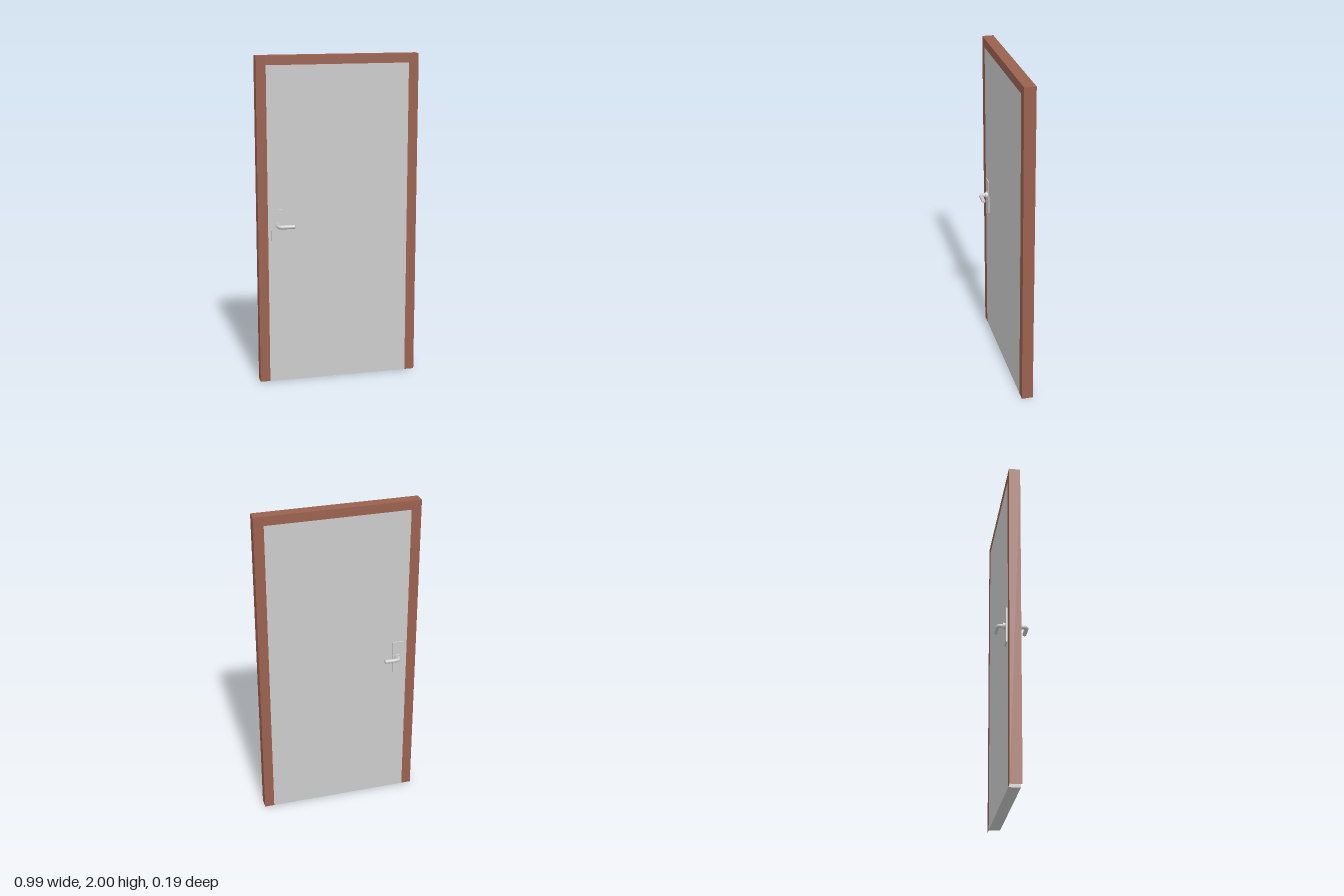
import * as THREE from 'three';

const HALF_W = 0.494, HALF_D = 0.0345, PANEL_W = 0.434, PANEL_H = 1.945, HEIGHT = 2;
const HANDLE_X = -0.374, HANDLE_Y = 0.987, LEVER_R = 0.0122;

const grey = new THREE.MeshStandardMaterial({ color: 0xcccccc });
const brown = new THREE.MeshStandardMaterial({ color: 0x9a614f });

function add(parent, name, geometry, material, x = 0, y = 0, z = 0) {
  const mesh = new THREE.Mesh(geometry, material);
  mesh.name = name;
  mesh.position.set(x, y, z);
  parent.add(mesh);
  return mesh;
}

// Hollow upright, open underneath: the bottom face of the box is dropped
function jambGeometry() {
  const geometry = new THREE.BoxGeometry(HALF_W - PANEL_W, HEIGHT, HALF_D * 2);
  const index = Array.from(geometry.index.array);
  index.splice(18, 6);
  geometry.setIndex(index);
  geometry.clearGroups();
  return geometry;
}

// Lever path: out of the door, round an elbow, then along the door
function leverGeometry(start, reach, length) {
  const bend = 0.022;
  const path = new THREE.CurvePath();
  const a = new THREE.Vector3(0, 0, start);
  const b = new THREE.Vector3(0, 0, reach - bend);
  const c = new THREE.Vector3(bend, 0, reach);
  path.add(new THREE.LineCurve3(a, b));
  path.add(new THREE.QuadraticBezierCurve3(b, new THREE.Vector3(0, 0, reach), c));
  path.add(new THREE.LineCurve3(c, new THREE.Vector3(length, 0, reach)));
  return new THREE.TubeGeometry(path, 40, LEVER_R, 20);
}

// Plate, collar and lever for one face; side is 1 at the front, -1 at the back
function makeHandle(name, side, plateDepth) {
  const handle = new THREE.Group();
  handle.name = name;
  const plateFront = HALF_D + plateDepth;
  const reach = 0.085, length = 0.095;

  add(handle, 'backPlate', new THREE.BoxGeometry(0.07, 0.216, plateDepth), grey,
    -0.004, -0.007, HALF_D + plateDepth / 2);
  const collar = add(handle, 'collar', new THREE.CylinderGeometry(0.02, 0.02, 0.014, 28), grey,
    0, 0, plateFront + 0.007);
  collar.rotation.x = Math.PI / 2;
  add(handle, 'lever', leverGeometry(plateFront, reach, length - 0.003), grey);

  // Lever end with a softened rim
  const profile = [[LEVER_R, 0], [LEVER_R * 0.93, 0.002], [LEVER_R * 0.75, 0.003], [0, 0.003]]
    .map(([r, h]) => new THREE.Vector2(r, h));
  const tip = add(handle, 'leverTip', new THREE.LatheGeometry(profile, 20), grey,
    length - 0.003, 0, reach);
  tip.rotation.z = -Math.PI / 2;

  // A half turn about x carries the handle to the back, the lever still toward +x
  handle.position.set(HANDLE_X, HANDLE_Y, 0);
  if (side < 0) {
    handle.rotation.x = Math.PI;
    handle.children[0].position.y *= -1;
  }
  return handle;
}

export function createModel() {
  const door = new THREE.Group();
  door.name = 'door';

  // Frame: two uprights and a head
  const frame = new THREE.Group();
  frame.name = 'frame';
  door.add(frame);
  for (const [name, side] of [['leftJamb', 1], ['rightJamb', -1]]) {
    add(frame, name, jambGeometry(), brown, side * (HALF_W + PANEL_W) / 2, HEIGHT / 2, 0);
  }
  add(frame, 'head', new THREE.BoxGeometry(PANEL_W * 2, HEIGHT - PANEL_H, HALF_D * 2), brown,
    0, (HEIGHT + PANEL_H) / 2, 0);

  // Door leaf, flush with the frame on both faces
  add(door, 'panel', new THREE.BoxGeometry(PANEL_W * 2, PANEL_H, HALF_D * 2), grey,
    0, PANEL_H / 2, 0);

  door.add(makeHandle('frontHandle', 1, 0.005));
  door.add(makeHandle('backHandle', -1, 0.009));
  return door;
}
